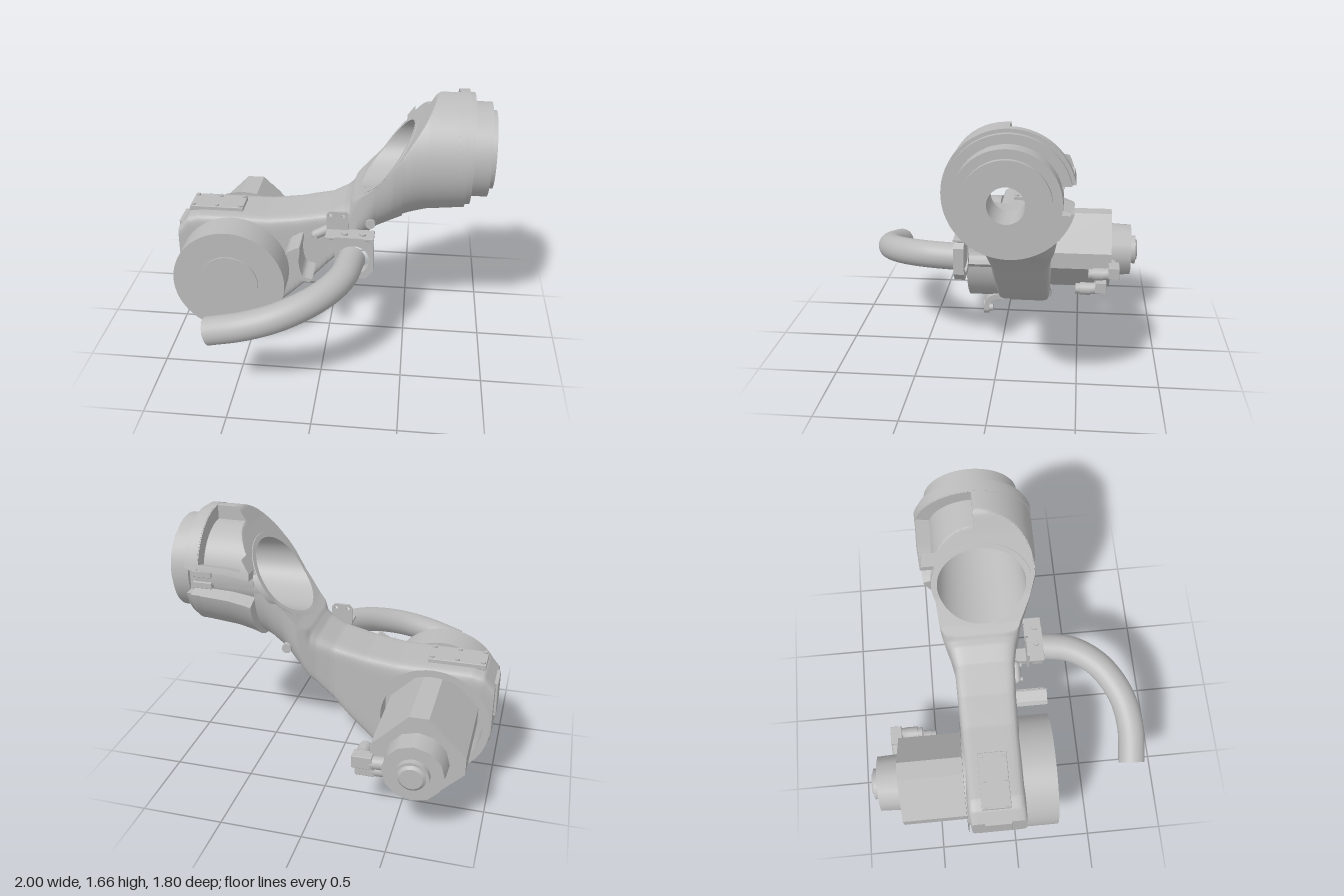
import * as THREE from 'three';
import { toCreasedNormals } from 'three/addons/utils/BufferGeometryUtils.js';
import { RoundedBoxGeometry } from 'three/addons/geometries/RoundedBoxGeometry.js';

const metal = new THREE.MeshStandardMaterial({ color: 0xbbbbbb, side: THREE.DoubleSide });
metal.name = 'grey metal';

// Linear lookup in a flat table [x0, v0, x1, v1, ...]
function look(t, x) {
  if (x <= t[0]) return t[1];
  for (let i = 2; i < t.length; i += 2) {
    if (x <= t[i]) return t[i - 1] + (t[i + 1] - t[i - 1]) * (x - t[i - 2]) / (t[i] - t[i - 2]);
  }
  return t[t.length - 1];
}

// Arm profiles along x: underside, section crown, sloped cut, front z, back z, squareness
const BOTTOM = [-0.985, 0.38, -0.95, 0.3, -0.9, 0.23, -0.85, 0.18, -0.75, 0.115, -0.62, 0.09, -0.5, 0.1, -0.42, 0.12,
  -0.35, 0.17, -0.25, 0.26, -0.1, 0.41, 0, 0.52, 0.1, 0.62, 0.2, 0.7, 0.3, 0.78, 0.4, 0.84, 0.5, 0.885, 0.6, 0.915, 0.83, 0.94];
const CROWN = [-0.985, 0.72, -0.92, 0.8, -0.85, 0.82, -0.4, 0.82, -0.2, 0.845, 0, 0.89, 0.1, 0.94, 0.14, 0.98,
  0.2, 1.24, 0.3, 1.56, 0.4, 1.64, 0.6, 1.66];
const CUT = [0.1, 0.95, 0.2, 1.04, 0.33, 1.18, 0.425, 1.32, 0.57, 1.54, 0.63, 1.64, 0.67, 1.67];
const FRONT = [-0.985, 0.065, -0.2, 0.07, 0, 0.08, 0.1, 0.1, 0.2, 0.135, 0.3, 0.195, 0.4, 0.24, 0.5, 0.25];
const BACK = [-0.985, -0.285, -0.9, -0.3, 0, -0.305, 0.1, -0.33, 0.2, -0.37, 0.3, -0.38, 0.4599, -0.38, 0.46, -0.46, 0.6, -0.47];
const SQUARE = [-0.985, 10, -0.1, 10, 0.1, 6, 0.2, 3, 0.3, 2.3, 0.46, 2];
const HEAD = { y: 1.3, z: -0.11 }, BORE = { y: 1.25, z: -0.09, ry: 0.205, rz: 0.272 }, DRIVE = { x: -0.62, y: 0.46 };
// Limits around the section of the rear pocket and the rear slot
const POCKET = [0.375, 0.587], SLOT = [0.6, 0.657];

// x of the sloped cut at height y
function cutX(y) {
  const inverse = [];
  for (let i = 0; i < CUT.length; i += 2) inverse.push(CUT[i + 1], CUT[i]);
  return look(inverse, y);
}

function armPoint(x, u) {
  const side = Math.floor(u * 4) % 4, f = (u * 4 % 1) * 2 - 1;
  const [a, b] = [[1, f], [-f, 1], [-1, -f], [f, -1]][side];
  const n = look(SQUARE, x), k = Math.pow(Math.abs(a) ** n + Math.abs(b) ** n, -1 / n);
  const y0 = look(BOTTOM, x), y1 = look(CROWN, x), z0 = look(BACK, x), z1 = look(FRONT, x);
  let y = (y0 + y1) / 2 + b * k * (y1 - y0) / 2, z = (z0 + z1) / 2 + a * k * (z1 - z0) / 2;
  const slot = x >= 0.46 && u > SLOT[0] && u < SLOT[1];
  const pocket = x >= 0.51 && x <= 0.77 && u > POCKET[0] && u < POCKET[1];
  if (slot || pocket) {
    const s = Math.min(1, 0.275 / Math.hypot(y - HEAD.y, z - HEAD.z));
    y = HEAD.y + (y - HEAD.y) * s;
    z = HEAD.z + (z - HEAD.z) * s;
  }
  if (x > 0.1) y = Math.min(y, look(CUT, x));
  return new THREE.Vector3(x, y, z);
}

// Even steps from a to b with extra values, sorted
const steps = (a, b, n, extra = []) =>
  Array.from({ length: n }, (_, i) => a + (b - a) * i / n).concat(extra).sort((p, q) => p - q);

// Lofted rings of points; skip(centre) leaves a face out
function loft(rows, us, point, skip = () => false) {
  const pts = [], index = [], cols = us.length;
  for (let i = 0; i <= rows; i++) for (const u of us) pts.push(point(i, u));
  for (let i = 0; i < rows; i++) for (let j = 0; j < cols; j++) {
    const p = i * cols + j, q = i * cols + (j + 1) % cols;
    for (const t of [[p, p + cols, q], [q, p + cols, q + cols]]) {
      const c = t.reduce((s, k) => s.add(pts[k]), new THREE.Vector3()).divideScalar(3);
      if (!skip(c)) index.push(...t);
    }
  }
  const g = new THREE.BufferGeometry().setFromPoints(pts);
  g.setIndex(index);
  return toCreasedNormals(g, 0.6);
}

export function createModel() {
  const group = new THREE.Group();
  function add(name, geo, x = 0, y = 0, z = 0) {
    const m = new THREE.Mesh(geo, metal);
    m.name = name;
    m.position.set(x, y, z);
    group.add(m);
    return m;
  }
  const box = (name, x0, x1, y0, y1, z0, z1) =>
    add(name, new RoundedBoxGeometry(x1 - x0, y1 - y0, z1 - z0, 1, 0.004), (x0 + x1) / 2, (y0 + y1) / 2, (z0 + z1) / 2);
  function cyl(name, axis, r, length, x, y, z, r2 = r, sides = 40) {
    const g = new THREE.CylinderGeometry(r, r2, length, sides);
    if (axis === 'x') g.rotateZ(-Math.PI / 2);
    if (axis === 'z') g.rotateX(Math.PI / 2);
    return add(name, g, x, y, z);
  }
  const polygon = list => new THREE.Shape(list.map(p => new THREE.Vector2(...p)));
  const extrude = (shape, depth) =>
    new THREE.ExtrudeGeometry(shape, { depth, bevelEnabled: false, curveSegments: 32 });

  // Arm casting, open at the bore and the motor seat
  const xs = steps(-0.985, 0.83, 230, [0.4599, 0.46, 0.5099, 0.51, 0.77, 0.7701, 0.83]);
  const us = steps(0, 1, 160, [...POCKET, ...SLOT].flatMap(u => [u - 1e-5, u + 1e-5]));
  const inBore = c => c.x > 0.12 && Math.hypot((c.y - BORE.y) / BORE.ry, (c.z - BORE.z) / BORE.rz) < 1.07;
  const inSeat = c => c.z < -0.27 && Math.hypot(c.x - DRIVE.x, c.y - DRIVE.y) < 0.335;
  add('armCasting', loft(xs.length - 1, us, (i, u) => armPoint(xs[i], u), c => inBore(c) || inSeat(c)));
  add('armEnd', loft(1, us, (i, u) => i ? armPoint(-0.985, u) : new THREE.Vector3(-0.985, 0.55, -0.11)));

  // Bore rim with its outer edge, and lining
  const ring = steps(0, 1, 80);
  const borePoint = (u, s, depth, x) => {
    const y = BORE.y + BORE.ry * s * Math.sin(u * Math.PI * 2), z = BORE.z + BORE.rz * s * Math.cos(u * Math.PI * 2);
    return new THREE.Vector3(x ?? cutX(y) + depth, y, z);
  };
  add('boreRim', loft(2, ring, (i, u) => borePoint(u, [1.13, 1.13, 1][i], [0.04, -0.004, -0.004][i])));
  add('boreLining', loft(1, ring, (i, u) => i ? borePoint(u, 0.88, 0, 0.825) : borePoint(u, 1, -0.004)));

  // Motor seat
  const tube = new THREE.CylinderGeometry(0.315, 0.315, 0.15, 56, 1, true).rotateX(Math.PI / 2);
  add('seatWall', tube, DRIVE.x, DRIVE.y, -0.232);
  add('seatRim', new THREE.RingGeometry(0.315, 0.36, 56).rotateY(Math.PI), DRIVE.x, DRIVE.y, -0.307);
  add('seatFloor', new THREE.CircleGeometry(0.315, 56).rotateY(Math.PI), DRIVE.x, DRIVE.y, -0.16);

  // Head flanges around the through hole; the widest have the rear slot
  function flange(name, r, x0, x1, slotted) {
    const s = new THREE.Shape();
    if (slotted) {
      const a = Math.asin(0.07 / r), b = Math.asin(-0.09 / r);
      s.absarc(0, 0, r, a, Math.PI * 2 + b);
      s.lineTo(0.265, -0.09);
      s.lineTo(0.265, 0.07);
    } else s.absarc(0, 0, r, 0, Math.PI * 2);
    s.holes.push(new THREE.Path().absarc(0, 0, 0.1, 0, Math.PI * 2, true));
    const g = extrude(s, x1 - x0).rotateY(Math.PI / 2);
    add(name, toCreasedNormals(g, 0.5), x0, HEAD.y, HEAD.z);
  }
  flange('headCollar', 0.362, 0.775, 0.832, true);
  flange('wideFlange', 0.342, 0.832, 0.865, true);
  flange('middleFlange', 0.29, 0.865, 0.97);
  flange('endFlange', 0.24, 0.97, 1);
  for (const y of [1.25, 1.32]) box('slotClip', 0.72, 0.84, y - 0.02, y + 0.02, -0.4, -0.36);

  // Drive drum on the front
  cyl('driveDrum', 'z', 0.36, 0.21, DRIVE.x, DRIVE.y, 0.165, 0.36, 64);
  cyl('drumFace', 'z', 0.19, 0.02, DRIVE.x, DRIVE.y, 0.27, 0.19, 48);

  // Cover plates with screws
  box('topCover', -0.92, -0.57, 0.81, 0.845, -0.21, -0.03);
  for (const x of [-0.9, -0.745, -0.59]) for (const z of [-0.185, -0.05]) cyl('coverScrew', 'y', 0.014, 0.016, x, 0.847, z, 0.014, 12);
  box('endCover', -1, -0.97, 0.5, 0.73, -0.2, -0.03);
  for (const y of [0.53, 0.7]) for (const z of [-0.18, -0.05]) cyl('endScrew', 'x', 0.012, 0.006, -0.997, y, z, 0.012, 12);

  // Motor: chamfered square body on its corner, end cap and hub
  const m = 0.235, c = 0.08;
  const body = polygon([[m, -m + c], [m, m - c], [m - c, m], [-m + c, m], [-m, m - c], [-m, -m + c], [-m + c, -m], [m - c, -m]]);
  add('motorBody', extrude(body, 0.56).rotateZ(Math.PI / 4), -0.615, 0.465, -0.72);
  cyl('motorCap', 'z', 0.186, 0.14, -0.615, 0.46, -0.79, 0.18, 12);
  cyl('motorHub', 'z', 0.1, 0.035, -0.615, 0.46, -0.877);
  cyl('motorHubTip', 'z', 0.085, 0.015, -0.615, 0.46, -0.9, 0.065);

  // Cable connectors on the motor side
  for (const [y, z] of [[0.4, -0.73], [0.29, -0.645]]) {
    const bend = new THREE.CatmullRomCurve3([[-0.44, 0.01, 0], [-0.33, 0.01, -0.005], [-0.285, 0.005, 0.02], [-0.28, 0, 0.09]]
      .map(p => new THREE.Vector3(...p)));
    add('connectorElbow', new THREE.TubeGeometry(bend, 16, 0.04, 16), 0, y, z);
    box('connectorBlock', -0.36, -0.24, y - 0.02, y + 0.06, z - 0.045, z + 0.03);
    cyl('connectorPlug', 'z', 0.043, 0.07, -0.28, y, z + 0.1, 0.043, 20);
    cyl('connectorNut', 'z', 0.036, 0.04, -0.28, y, z + 0.145, 0.036, 12);
  }

  // Hose with closed ends
  const path = new THREE.CatmullRomCurve3([[-0.63, 0.465, 0.795], [-0.4, 0.53, 0.81], [-0.2, 0.585, 0.77], [0, 0.64, 0.645],
    [0.12, 0.67, 0.47], [0.165, 0.675, 0.23]].map(p => new THREE.Vector3(...p)));
  add('hose', new THREE.TubeGeometry(path, 48, 0.086, 28));
  for (const t of [0, 1]) {
    const p = path.getPoint(t), d = path.getTangent(t).multiplyScalar(t ? 1 : -1);
    const cap = add('hoseEnd', new THREE.CircleGeometry(0.086, 28), p.x, p.y, p.z);
    cap.quaternion.setFromUnitVectors(new THREE.Vector3(0, 0, 1), d);
  }

  // Hose clamp, shelf and upright plate
  const clamp = polygon([[0.1, 0.555], [0.25, 0.555], [0.3, 0.61], [0.3, 0.78], [0.23, 0.84], [0.06, 0.84], [0.06, 0.61]]);
  clamp.holes.push(new THREE.Path().absarc(0.175, 0.685, 0.1, 0, Math.PI * 2, true));
  add('hoseClamp', extrude(clamp, 0.065), 0, 0, 0.21);
  box('clampShelf', 0, 0.3, 0.82, 0.84, 0.16, 0.275);
  for (const x of [0.12, 0.23]) cyl('shelfScrew', 'y', 0.02, 0.015, x, 0.845, 0.23, 0.02, 12);
  const plate = polygon([[0, 0.73], [0.135, 0.73], [0.135, 0.94], [0.115, 0.962], [0.02, 0.962], [0, 0.94]]);
  for (const x of [0.025, 0.105]) plate.holes.push(new THREE.Path().absarc(x, 0.935, 0.011, 0, Math.PI * 2, true));
  add('clampPlate', extrude(plate, 0.016), 0, 0, 0.16);
  box('clampFoot', 0.02, 0.11, 0.74, 0.8, 0.06, 0.17);

  // Saddle under the hose and a small link
  const saddle = new THREE.CatmullRomCurve3([[-0.25, 0.69], [-0.18, 0.72], [-0.185, 0.62], [-0.16, 0.52], [-0.1, 0.5]]
    .map(p => new THREE.Vector3(p[0], p[1], 0)));
  const pts = saddle.getPoints(20);
  const outline = pts.map(p => [p.x, p.y]).concat(pts.reverse().map(p => [p.x + 0.02, p.y + 0.025]));
  add('hoseSaddle', extrude(polygon(outline), 0.21), 0, 0, 0.06);
  const link = add('link', new THREE.CapsuleGeometry(0.03, 0.09, 6, 16), -0.04, 0.768, 0.085);
  link.rotation.z = -1.05;
  for (const [x, y] of [[-0.08, 0.745], [0, 0.79]]) cyl('linkPin', 'z', 0.015, 0.03, x, y, 0.11, 0.015, 12);

  // Bosses on both sides of the neck
  for (const z of [0.125, -0.335]) cyl('neckBoss', 'z', 0.03, 0.08, 0.27, 0.88, z, 0.03, 20);

  // Curved lug at the foot
  const lug = new THREE.Shape();
  lug.moveTo(-0.02, 0.165);
  lug.lineTo(0.06, 0.165);
  lug.quadraticCurveTo(0.17, 0.155, 0.17, 0.045);
  lug.lineTo(0.135, 0.045);
  lug.quadraticCurveTo(0.135, 0.125, 0.06, 0.13);
  lug.lineTo(-0.02, 0.13);
  add('footLug', extrude(lug, 0.1).rotateY(-Math.PI / 2), -0.4, 0, 0);
  cyl('lugEnd', 'z', 0.048, 0.036, -0.45, 0.048, 0.152);
  cyl('lugBoss', 'z', 0.025, 0.035, -0.45, 0.04, 0.125, 0.025, 20);
  return group;
}
